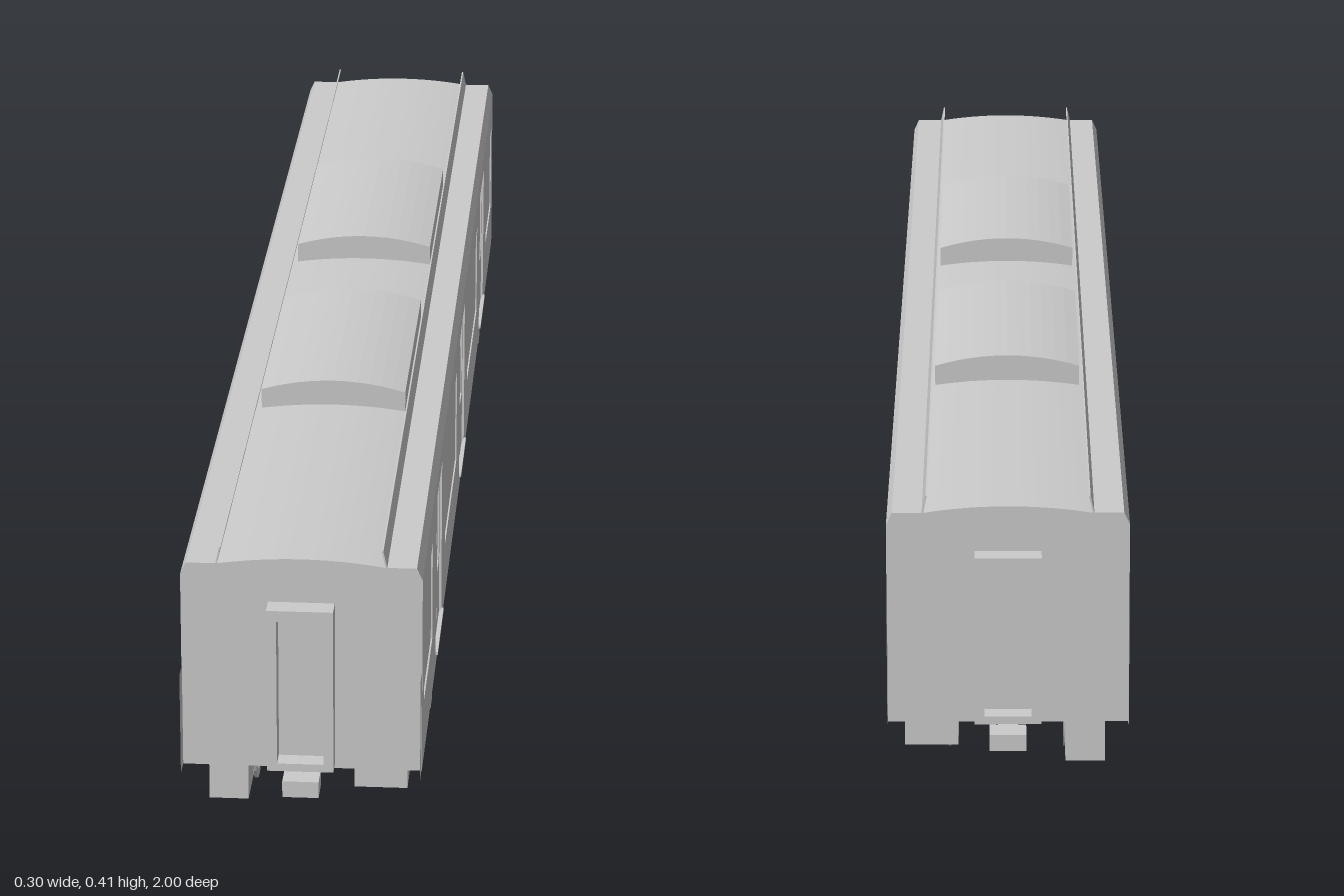
import * as THREE from 'three';

const material = new THREE.MeshStandardMaterial({ color: 0xcccccc, flatShading: true });
const smooth = new THREE.MeshStandardMaterial({ color: 0xcccccc });
const thin = new THREE.MeshStandardMaterial({ color: 0xcccccc, side: THREE.DoubleSide });

function add(parent, name, geometry, mat = material) {
  const mesh = new THREE.Mesh(geometry, mat);
  mesh.name = name;
  parent.add(mesh);
  return mesh;
}

// Box given by its limits on each axis
function box(parent, name, [x0, x1], [y0, y1], [z0, z1]) {
  const mesh = add(parent, name, new THREE.BoxGeometry(x1 - x0, y1 - y0, z1 - z0));
  mesh.position.set((x0 + x1) / 2, (y0 + y1) / 2, (z0 + z1) / 2);
  return mesh;
}

function cylinder(parent, name, radius, length, axis, x, y, z, sides = 20) {
  const g = new THREE.CylinderGeometry(radius, radius, length, sides);
  if (axis === 'x') g.rotateZ(Math.PI / 2);
  if (axis === 'z') g.rotateX(Math.PI / 2);
  const mesh = add(parent, name, g, smooth);
  mesh.position.set(x, y, z);
  return mesh;
}

// Cross-section in x, y drawn out along z
function section(parent, name, points, z0, z1) {
  const shape = new THREE.Shape(points.map(p => new THREE.Vector2(...p)));
  const g = new THREE.ExtrudeGeometry(shape, { depth: z1 - z0, bevelEnabled: false });
  return add(parent, name, g.translate(0, 0, z0));
}

// Shape in z, y given thickness along x, outer face towards the given side
function sidePlate(parent, name, shape, xInner, thickness, side) {
  const g = new THREE.ExtrudeGeometry(shape, { depth: thickness, bevelEnabled: false });
  g.rotateY(side * Math.PI / 2);
  return add(parent, name, g.translate(side * xInner, 0, 0));
}

function rect(Type, x0, x1, y0, y1) {
  return new Type([[x0, y0], [x1, y0], [x1, y1], [x0, y1]].map(p => new THREE.Vector2(...p)));
}

// Shallow arch from -w to w, rising from y0 to y1
function arch(w, y0, y1, n = 12) {
  return Array.from({ length: n + 1 }, (_, i) => {
    const x = w - (2 * w * i) / n;
    return [x, y1 - (y1 - y0) * (x / w) ** 2];
  });
}

const END = 0.9725;
const DOORS = [-0.6, 0, 0.6];
const WINDOWS = [[-0.935, -0.75], [-0.45, -0.15], [0.15, 0.45], [0.75, 0.935]];

function buildBody(car) {
  // Core and roof
  section(car, 'bodyShell', [
    [-0.14, 0.105], [0.14, 0.105], [0.14, 0.345], [0.145, 0.345], [0.145, 0.355], [0.138, 0.37],
    ...arch(0.1, 0.37, 0.378),
    [-0.138, 0.37], [-0.145, 0.355], [-0.145, 0.345], [-0.14, 0.345],
  ], -END, END);

  for (const s of [1, -1]) {
    // Side wall with window and door openings
    const wall = rect(THREE.Shape, -END, END, 0.105, 0.345);
    for (const [a, b] of WINDOWS) wall.holes.push(rect(THREE.Path, a, b, 0.18, 0.31));
    for (const z of DOORS) wall.holes.push(rect(THREE.Path, z - 0.067, z + 0.067, 0.122, 0.33));
    sidePlate(car, 'sideWall', wall, 0.14, 0.005, s);
    for (const [a, b] of WINDOWS) {
      sidePlate(car, 'windowPane', rect(THREE.Shape, a, b, 0.18, 0.31), 0.139, 0.004, s);
    }
    // Double sliding doors
    for (const z of DOORS) {
      for (const d of [-1, 1]) {
        const c = z + d * 0.033;
        const leaf = rect(THREE.Shape, c - 0.032, c + 0.032, 0.122, 0.33);
        leaf.holes.push(rect(THREE.Path, c - 0.02, c + 0.02, 0.2, 0.312));
        sidePlate(car, 'doorLeaf', leaf, 0.139, 0.003, s);
      }
      sidePlate(car, 'doorStep', rect(THREE.Shape, z - 0.07, z + 0.07, 0.122, 0.126), 0.144, 0.004, s);
    }
    // Rain gutter along the roof
    section(car, 'roofGutter', [
      [s * 0.101, 0.368], [s * 0.103, 0.368], [s * 0.098, 0.391], [s * 0.096, 0.391],
    ], -END, END);
  }

  // Roof units
  for (const [a, b] of [[-0.462, -0.11], [0.11, 0.462]]) {
    section(car, 'roofUnit', [[-0.093, 0.365], [0.093, 0.365], ...arch(0.093, 0.397, 0.411)], a, b);
  }
}

function buildEnd(car, s) {
  const end = new THREE.Group();
  end.name = s > 0 ? 'frontEnd' : 'backEnd';
  end.rotation.y = s > 0 ? 0 : Math.PI;
  car.add(end);

  // Gangway frame with its recessed door
  const frame = rect(THREE.Shape, -0.04, 0.04, 0.112, 0.322);
  frame.holes.push(rect(THREE.Path, -0.028, 0.028, 0.122, 0.308));
  const g = new THREE.ExtrudeGeometry(frame, { depth: 1 - END, bevelEnabled: false });
  add(end, 'gangwayFrame', g.translate(0, 0, END));
  box(end, 'gangwayDoor', [-0.027, 0.027], [0.122, 0.307], [END - 0.002, END + 0.003]);

  // Corner fins that carry the side walls past the end
  for (const x of [-0.1445, 0.1445]) {
    const fin = add(end, 'cornerFin', new THREE.PlaneGeometry(0.0275, 0.13), thin);
    fin.rotation.y = Math.PI / 2;
    fin.position.set(x, 0.17, 0.98625);
  }

  // Coupler
  box(end, 'couplerBar', [-0.012, 0.012], [0.08, 0.095], [0.87, 0.985]);
  box(end, 'couplerHead', [-0.022, 0.022], [0.077, 0.098], [0.965, 0.999]);
  box(end, 'couplerMount', [-0.03, 0.03], [0.085, 0.106], [0.84, 0.89]);
}

function buildBogie(car, z) {
  const bogie = new THREE.Group();
  bogie.name = 'bogie';
  bogie.position.z = z;
  car.add(bogie);

  const wheelProfile = [
    [0, -0.006], [0.012, -0.006], [0.014, -0.002], [0.03, -0.002], [0.033, -0.0075], [0.045, -0.0075],
    [0.045, -0.004], [0.0415, -0.002], [0.040, 0.0075], [0.033, 0.0075], [0.03, 0.002],
    [0.014, 0.002], [0.012, 0.007], [0, 0.007],
  ].map(p => new THREE.Vector2(...p));
  const wheelGeometry = new THREE.LatheGeometry(wheelProfile, 24).rotateZ(-Math.PI / 2);

  for (const az of [-0.112, 0.112]) {
    cylinder(bogie, 'axle', 0.008, 0.21, 'x', 0, 0.045, az, 14);
    for (const s of [1, -1]) {
      const wheel = add(bogie, 'wheel', wheelGeometry);
      wheel.position.set(s * 0.0775, 0.045, az);
      wheel.rotation.y = s > 0 ? 0 : Math.PI;
      // Axle box with a spring either side
      box(bogie, 'axleBox', s > 0 ? [0.093, 0.112] : [-0.112, -0.093], [0.034, 0.062], [az - 0.016, az + 0.016]);
      cylinder(bogie, 'axleCap', 0.011, 0.006, 'x', s * 0.113, 0.045, az, 14);
      for (const d of [-0.023, 0.023]) {
        cylinder(bogie, 'axleSpring', 0.007, 0.028, 'y', s * 0.101, 0.058, az + d, 10);
        box(bogie, 'springSeat', s > 0 ? [0.093, 0.109] : [-0.109, -0.093], [0.038, 0.045], [az + d - 0.009, az + d + 0.009]);
      }
    }
  }

  for (const s of [1, -1]) {
    // Dropped side frame
    const outline = [
      [-0.145, 0.064], [-0.08, 0.064], [-0.045, 0.04], [0.045, 0.04], [0.08, 0.064], [0.145, 0.064],
      [0.145, 0.074], [0.075, 0.078], [0.042, 0.057], [-0.042, 0.057], [-0.075, 0.078], [-0.145, 0.074],
    ].map(p => new THREE.Vector2(...p));
    sidePlate(bogie, 'sideFrame', new THREE.Shape(outline), 0.092, 0.016, s);
    // Air spring, damper and brake units
    cylinder(bogie, 'airSpringBase', 0.022, 0.016, 'y', s * 0.09, 0.064, 0);
    cylinder(bogie, 'airSpring', 0.032, 0.02, 'y', s * 0.09, 0.082, 0);
    cylinder(bogie, 'airSpringTop', 0.042, 0.014, 'y', s * 0.09, 0.099, 0);
    cylinder(bogie, 'damper', 0.005, 0.1, 'z', s * 0.115, 0.06, 0, 10);
    for (const d of [-1, 1]) {
      const block = box(bogie, 'brakeBlock', [-0.007, 0.007], [-0.016, 0.016], [-0.006, 0.006]);
      block.position.set(s * 0.078, 0.046, d * 0.06);
      block.rotation.x = d * 0.15;
    }
    // Leaning bracket outside the frame
    const bracket = box(bogie, 'sideBracket', [-0.004, 0.004], [-0.025, 0.026], [-0.018, 0.018]);
    bracket.position.set(s * 0.133, 0.079, 0);
    bracket.rotation.z = s * 0.12;
  }
  box(bogie, 'crossBeam', [-0.1, 0.1], [0.038, 0.056], [-0.032, 0.032]);
  box(bogie, 'bolster', [-0.1, 0.1], [0.086, 0.1], [-0.022, 0.022]);
  cylinder(bogie, 'centrePivot', 0.018, 0.06, 'y', 0, 0.077, 0);
  for (const d of [-0.055, 0.055]) cylinder(bogie, 'tractionMotor', 0.018, 0.1, 'x', 0, 0.052, d);
}

function buildUnderfloor(car) {
  // Equipment boxes: x limits, bottom, z limits
  const boxes = [
    [[-0.118, -0.07], 0.037, [0.86, 0.925]], [[0.06, 0.125], 0.058, [0.865, 0.925]],
    [[-0.118, -0.07], 0.037, [-0.93, -0.865]], [[0.06, 0.125], 0.058, [-0.93, -0.865]],
    [[-0.135, -0.055], 0.037, [0.37, 0.475]],
    [[-0.135, -0.06], 0.037, [0.057, 0.26]], [[-0.13, -0.065], 0.04, [-0.018, 0.05]],
    [[-0.135, -0.06], 0.037, [-0.13, -0.022]], [[-0.13, -0.065], 0.04, [-0.232, -0.134]],
    [[-0.135, -0.06], 0.037, [-0.43, -0.236]],
    [[0.06, 0.135], 0.04, [-0.13, -0.015]], [[0.08, 0.135], 0.04, [-0.43, -0.245]],
    [[0.055, 0.105], 0.05, [0.225, 0.26]],
  ];
  for (const [x, y, z] of boxes) box(car, 'equipmentBox', x, [y, 0.106], z);
  // Air tanks with hanging straps
  for (const z of [0.135, 0.365]) {
    cylinder(car, 'airTank', 0.02, 0.115, 'z', 0.1, 0.083, z);
    for (const d of [-0.035, 0.035]) box(car, 'tankStrap', [0.085, 0.115], [0.09, 0.106], [z + d - 0.004, z + d + 0.004]);
  }
}

export function createModel() {
  const car = new THREE.Group();
  car.name = 'railCar';
  buildBody(car);
  buildUnderfloor(car);
  for (const s of [1, -1]) {
    buildEnd(car, s);
    buildBogie(car, s * 0.667);
  }
  return car;
}
